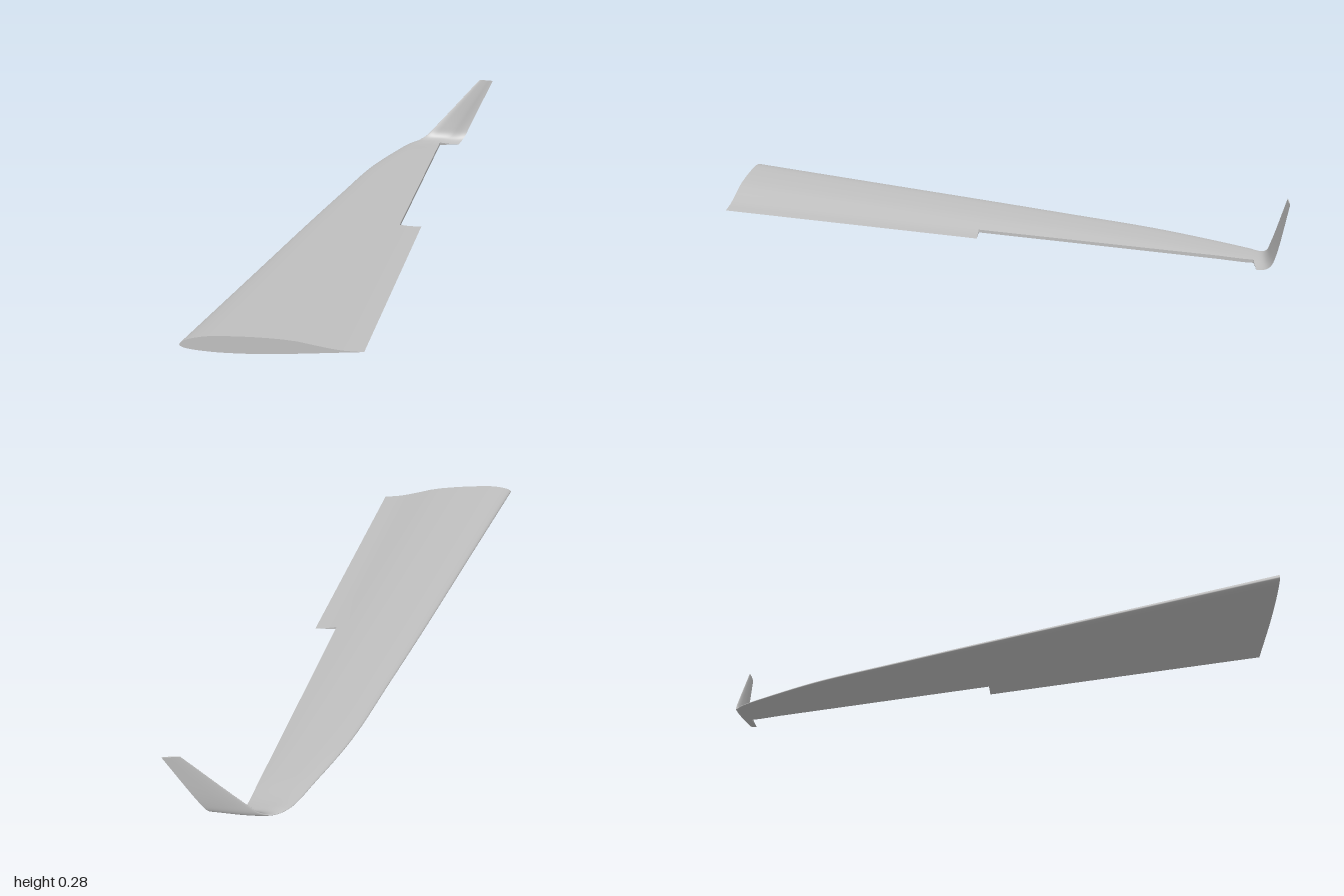
import * as THREE from 'three';

// Airfoil height over chord fraction t, sampled on sqrt(t) for a round nose
const foil = (s, h) => {
  const curve = new THREE.CubicInterpolant(s, h, 1, new Float32Array(1));
  return t => curve.evaluate(Math.sqrt(t))[0];
};
const upper = foil([0, 0.2, 0.4, 0.5, 0.69, 0.79, 0.84, 0.9, 0.94, 1],
  [0, 0.032, 0.058, 0.0625, 0.061, 0.05, 0.034, 0.014, 0.004, 0]);
const lower = foil([0, 0.2, 0.4, 0.5, 0.69, 0.84, 1],
  [0, -0.022, -0.036, -0.04, -0.037, -0.022, 0]);

// Wing stations from root to bend: z, leading edge x
const wing = [[1, -0.585], [0.5, -0.395], [0.025, -0.215], [-0.3, -0.088],
  [-0.6, 0.032], [-0.8, 0.138], [-0.926, 0.214]];
// Bend and winglet stations: leading edge xyz, trailing edge xyz
const winglet = [
  [0.262, 0.014, -0.963, 0.45, 0.012, -0.953],
  [0.3, 0.034, -0.978, 0.466, 0.03, -0.968],
  [0.345, 0.08, -0.984, 0.489, 0.076, -0.979],
  [0.525, 0.277, -0.998, 0.583, 0.272, -0.997]];
const rolls = [0, 0, 0, 0, 0, 2, 10, 35, 65, 82, 86];
const thick = [1, 0.94, 0.87, 0.82, 0.77, 0.73, 0.7, 0.68, 0.66, 0.62, 0.5];

const STEPS = 8, FRONT = 18, REAR = 8, HALF = FRONT + REAR;
const NOTCH_START = 2 * STEPS, NOTCH_END = 6 * STEPS, LAST = 10 * STEPS;

function buildSections() {
  const v = (x, y, z) => new THREE.Vector3(x, y, z);
  const lead = new THREE.CatmullRomCurve3([
    ...wing.map(([z, x]) => v(x, 0.065 - 0.0296 * (1 - z), z)),
    ...winglet.map(p => v(p[0], p[1], p[2]))]);
  const trail = new THREE.CatmullRomCurve3([
    ...wing.map(([z]) => v(-0.04 + 0.246 * (1 - z), 0.03 - 0.0135 * (1 - z), z)),
    ...winglet.map(p => v(p[3], p[4], p[5]))]);
  const mix = (list, u) => {
    const k = Math.min(Math.floor(u), list.length - 2);
    return THREE.MathUtils.lerp(list[k], list[k + 1], u - k);
  };
  const cutAt = i => {
    const a = lead.getPoint(i / LAST), b = trail.getPoint(i / LAST);
    return (0.12 + (0.025 - a.z) * 0.242 - a.x) / (b.x - a.x);
  };
  const rows = [];
  for (let i = 0; i <= LAST; i++) {
    const a = lead.getPoint(i / LAST), b = trail.getPoint(i / LAST);
    const roll = THREE.MathUtils.degToRad(mix(rolls, i / STEPS));
    const scale = a.distanceTo(b) * mix(thick, i / STEPS);
    const cut = cutAt(THREE.MathUtils.clamp(i, NOTCH_START, NOTCH_END));
    const place = (t, h) => a.clone().lerp(b, t)
      .add(v(0, Math.cos(roll), Math.sin(roll)).multiplyScalar(h * scale));
    const top = [], bottom = [];
    for (let j = 0; j <= HALF; j++) {
      const t = j <= FRONT ? cut * (j / FRONT) ** 2 : cut + (1 - cut) * (j - FRONT) / REAR;
      top.push(place(t, upper(t)));
      bottom.push(place(t, lower(t)));
    }
    rows.push({ top, bottom });
  }
  return rows;
}

function geometry(points, index) {
  const g = new THREE.BufferGeometry().setFromPoints(points);
  g.setIndex(index);
  g.computeVertexNormals();
  return g;
}

// Flat wall joining an upper edge to a lower edge
function wall(top, bottom) {
  const index = [], n = top.length;
  for (let k = 0; k < n - 1; k++) index.push(k, k + n, k + 1, k + 1, k + n, k + n + 1);
  return geometry([...top, ...bottom], index);
}

export function createModel() {
  const group = new THREE.Group();
  group.name = 'wing';
  const paint = new THREE.MeshStandardMaterial({ color: 0xbfbfbf, side: THREE.DoubleSide });
  paint.name = 'light grey';
  const add = (name, geo) => {
    const mesh = new THREE.Mesh(geo, paint);
    mesh.name = name;
    group.add(mesh);
  };

  // Continuous skin around the nose, leaving out the control surface notch
  const rows = buildSections();
  const points = [], index = [], W = 2 * HALF + 1;
  rows.forEach(r => points.push(...[...r.top].reverse(), ...r.bottom.slice(1)));
  for (let i = 0; i < LAST; i++) {
    for (let j = 0; j < W - 1; j++) {
      const rear = j < REAR || j >= W - 1 - REAR;
      if (rear && i >= NOTCH_START && i < NOTCH_END) continue;
      const a = i * W + j, b = a + W;
      index.push(a, b, a + 1, a + 1, b, b + 1);
    }
  }
  add('wingSkin', geometry(points, index));

  // End caps
  const root = rows[0], tip = rows[LAST];
  add('rootCap', wall(root.top, root.bottom));
  add('wingletTipCap', wall([...tip.top].reverse(), [...tip.bottom].reverse()));

  // Notch walls: rear spar and the two side faces
  const spar = rows.slice(NOTCH_START, NOTCH_END + 1);
  add('rearSpar', wall(spar.map(r => r.top[FRONT]).reverse(), spar.map(r => r.bottom[FRONT]).reverse()));
  const inner = rows[NOTCH_START], outer = rows[NOTCH_END];
  add('notchInnerFace', wall(inner.top.slice(FRONT).reverse(), inner.bottom.slice(FRONT).reverse()));
  add('notchOuterFace', wall(outer.top.slice(FRONT), outer.bottom.slice(FRONT)));
  return group;
}
